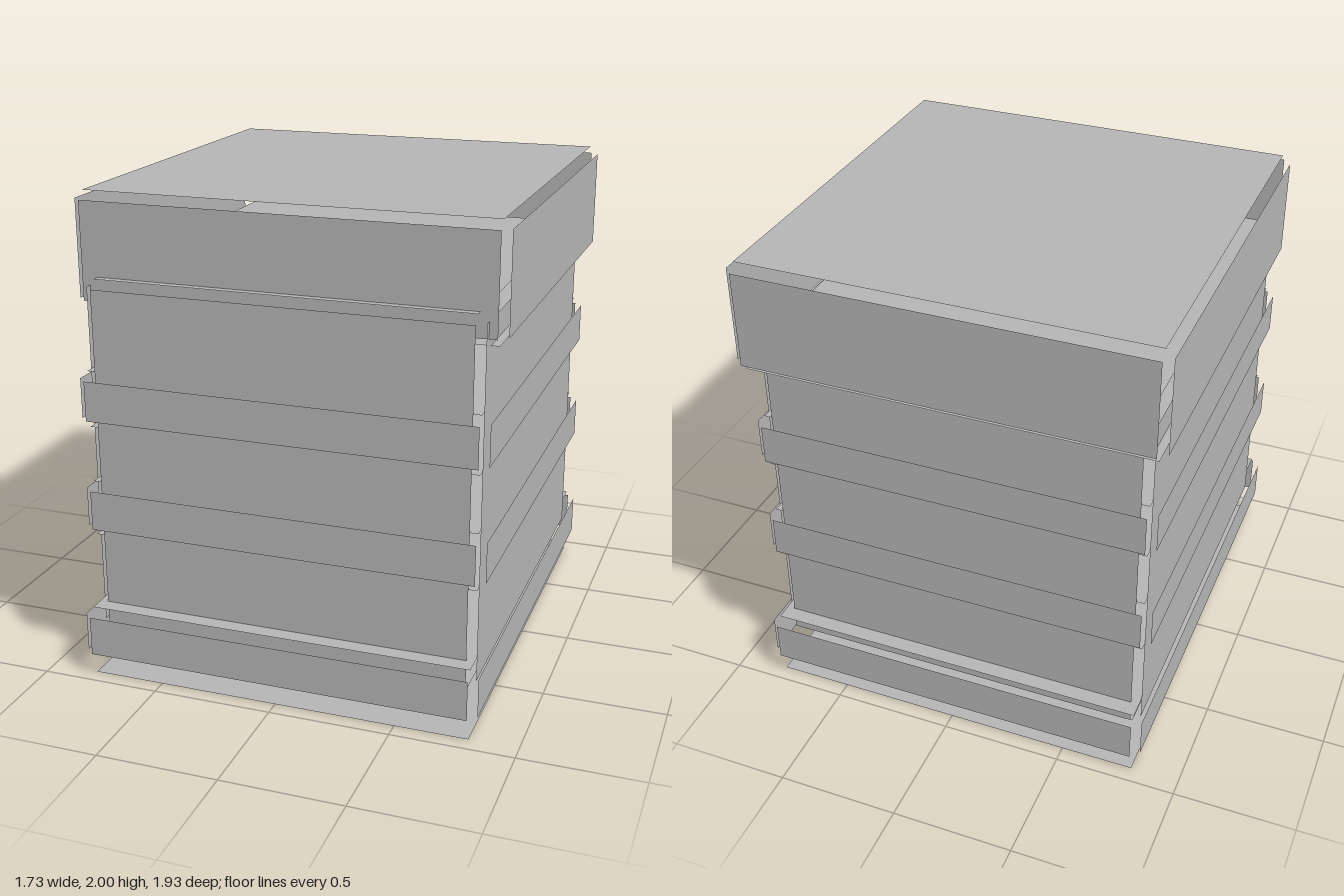
import * as THREE from 'three';

const U = 1 / 30; // modelling unit: the whole stack is 60 units tall

const grey = new THREE.MeshStandardMaterial({ color: 0xb4b4b4, side: THREE.DoubleSide });
grey.name = 'plain grey';

// One flat panel, w by h, turned and placed
function panel(name, w, h, pos, rot) {
  const mesh = new THREE.Mesh(new THREE.PlaneGeometry(w * U, h * U), grey);
  mesh.name = name;
  mesh.position.set(...pos).multiplyScalar(U);
  mesh.rotation.set(...rot);
  return mesh;
}

// A box of six loose panels, each standing one unit clear of the box core
function panelBox(name, { x, y: [y0, y1], z: [z0, z1], top = y1 + 1, bottom = y0 - 1 }) {
  const g = new THREE.Group();
  g.name = name;
  const w = 2 * x, h = y1 - y0, d = z1 - z0;
  const cy = (y0 + y1) / 2, cz = (z0 + z1) / 2, q = Math.PI / 2;
  g.add(
    panel(name + 'Front', w, h, [0, cy, z1 + 1], [0, 0, 0]),
    panel(name + 'Back', w, h, [0, cy, z0 - 1], [0, Math.PI, 0]),
    panel(name + 'Left', d, h, [x + 1, cy, cz], [0, q, 0]),
    panel(name + 'Right', d, h, [-x - 1, cy, cz], [0, -q, 0]),
    panel(name + 'Top', w, d, [0, top, cz], [-q, 0, 0]),
    panel(name + 'Bottom', w, d, [0, bottom, cz], [q, 0, 0])
  );
  return g;
}

export function createModel() {
  const model = new THREE.Group();
  model.name = 'stackedBox';

  // Inner body, base tray with a lower floor, and the set-back lid
  model.add(panelBox('body', { x: 23, y: [6, 49], z: [-25, 25] }));
  model.add(panelBox('base', { x: 24, y: [3, 8], z: [-28, 28], bottom: 0 }));
  model.add(panelBox('lid', { x: 25, y: [47, 59], z: [-27, 23] }));

  // Two raised bands around the body
  [['lowerBand', 19], ['upperBand', 33]].forEach(([name, y]) =>
    model.add(panelBox(name, { x: 24, y: [y, y + 5], z: [-26, 26] })));

  return model;
}
